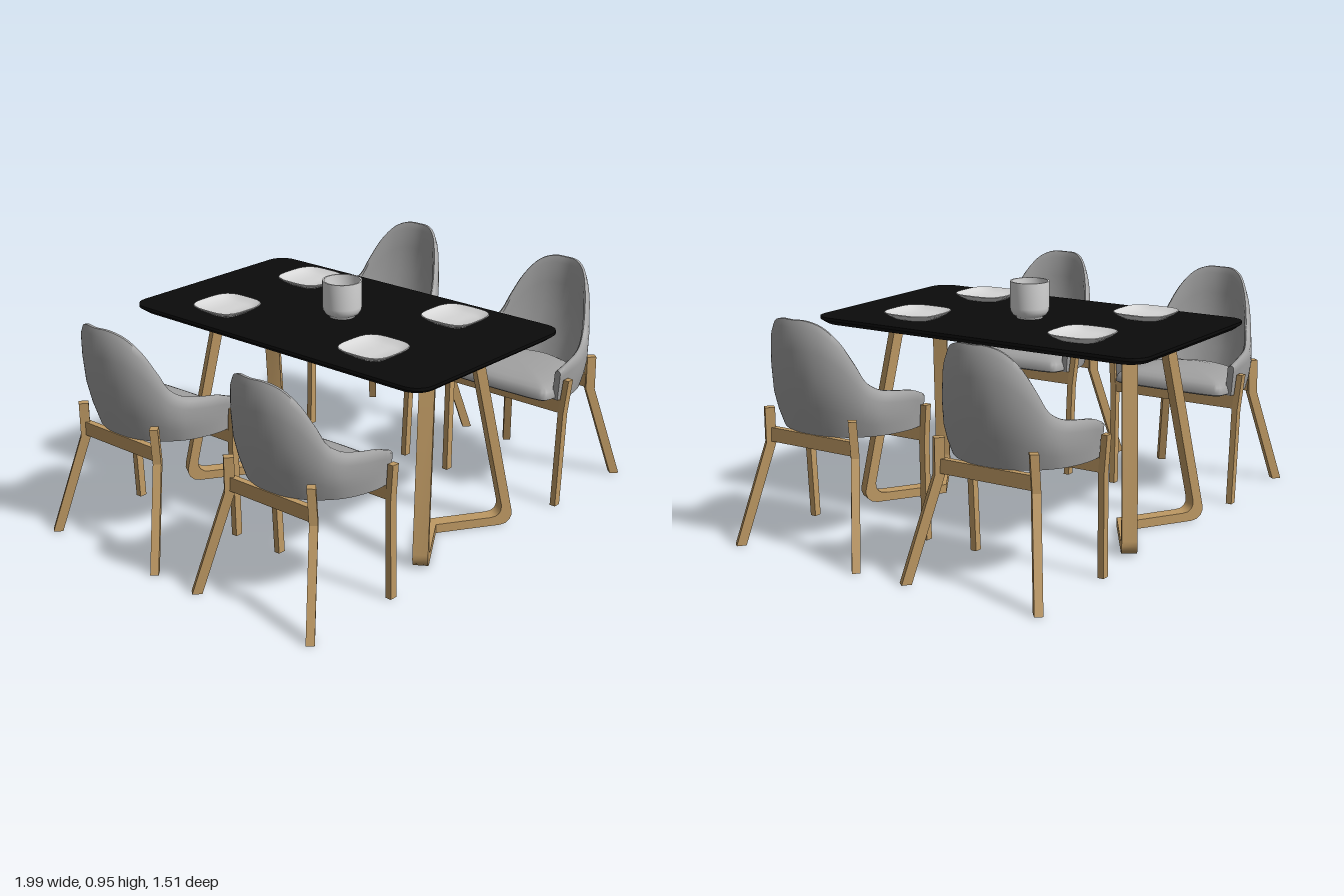
import * as THREE from 'three';
import { toCreasedNormals } from 'three/addons/utils/BufferGeometryUtils.js';

const mat = (name, color) => {
  const m = new THREE.MeshStandardMaterial({ color });
  m.name = name;
  return m;
};
const V = (x, y, z) => new THREE.Vector3(x, y, z);

// Skin closed rings of equal length, cap both ends, and face the surface outward
function loft(rings, crease = 0.6) {
  const n = rings[0].length, pts = rings.flat(), idx = [];
  for (let r = 0; r < rings.length - 1; r++) {
    for (let i = 0; i < n; i++) {
      const a = r * n + i, b = r * n + (i + 1) % n;
      idx.push(a, b, b + n, a, b + n, a + n);
    }
  }
  [0, rings.length - 1].forEach((r, end) => {
    const c = V(0, 0, 0);
    rings[r].forEach(p => c.addScaledVector(p, 1 / n));
    pts.push(c);
    for (let i = 0; i < n; i++) {
      const a = r * n + i, b = r * n + (i + 1) % n;
      idx.push(pts.length - 1, end ? a : b, end ? b : a);
    }
  });
  let volume = 0;
  const cross = V(0, 0, 0);
  for (let i = 0; i < idx.length; i += 3) {
    volume += pts[idx[i]].dot(cross.crossVectors(pts[idx[i + 1]], pts[idx[i + 2]]));
  }
  if (volume < 0) idx.reverse();
  const g = new THREE.BufferGeometry().setFromPoints(pts);
  g.setIndex(idx);
  return toCreasedNormals(g, crease);
}

// Bar with a rectangular section, turned about y, through a few points
function bar(points, w, d, turn = 0) {
  const c = Math.cos(turn), s = Math.sin(turn);
  return loft(points.map(p => [[-1, -1], [1, -1], [1, 1], [-1, 1]].map(([i, j]) =>
    V(p[0] + i * w / 2 * c - j * d / 2 * s, p[1], p[2] + i * w / 2 * s + j * d / 2 * c))), 0.3);
}

function roundedRect(hx, hz, r, y) {
  const ring = [];
  [[1, 1], [-1, 1], [-1, -1], [1, -1]].forEach(([sx, sz], q) => {
    for (let k = 0; k <= 6; k++) {
      const a = (q + k / 6) * Math.PI / 2;
      ring.push(V(sx * (hx - r) + r * Math.cos(a), y, sz * (hz - r) + r * Math.sin(a)));
    }
  });
  return ring;
}

// Rounded square ring for the plates
function squircle(r, y) {
  return Array.from({ length: 40 }, (_, i) => {
    const a = i / 40 * Math.PI * 2, c = Math.cos(a), s = Math.sin(a);
    const k = r / Math.pow(Math.abs(c) ** 3.5 + Math.abs(s) ** 3.5, 1 / 3.5);
    return V(c * k, y, s * k);
  });
}

const mirrored = half => [...half, ...half.slice(0, -1).reverse().map(([x, y, z]) => [x, y, -z])];
const smooth = half => new THREE.CatmullRomCurve3(mirrored(half).map(p => V(...p)));

// Upper and lower edge of the chair shell, from arm front to back centre
const RIM = [[.525, .585, .28], [.6, .613, .287], [.68, .625, .272], [.75, .638, .245], [.8, .67, .222],
  [.84, .74, .2], [.885, .825, .165], [.93, .89, .115], [.957, .913, .06], [.967, .914, 0]];
const BASE = [[.525, .46, .27], [.6, .46, .275], [.68, .46, .26], [.74, .46, .235], [.78, .46, .205],
  [.81, .46, .175], [.835, .46, .14], [.855, .46, .095], [.867, .46, .05], [.87, .46, 0]];

function shellGeometry() {
  const rim = smooth(RIM), base = smooth(BASE), rings = [], thick = 0.028;
  const section = [[0, 0], [.25, 0], [.5, 0], [.75, 0], [.94, 0], [1, .3], [1, .7],
    [.94, 1], [.75, 1], [.5, 1], [.25, 1], [0, 1]];
  for (let i = 0; i <= 72; i++) {
    const u = i / 72, top = rim.getPoint(u), low = base.getPoint(u), t = base.getTangent(u);
    const out = V(-t.z, 0, t.x).normalize();
    if (out.x * (low.x - 0.6) + out.z * low.z < 0) out.negate();
    rings.push(section.map(([v, inner]) => {
      const bulge = 0.026 * Math.sin(Math.PI * v) * Math.max(0, out.x);
      return low.clone().lerp(top, v).addScaledVector(out, bulge - thick * inner);
    }));
  }
  return loft(rings, 0.9);
}

function cushionGeometry() {
  const half = [[.455, 0, 0], [.457, 0, .1], [.461, 0, .2], [.472, 0, .242], [.5, 0, .254],
    [.6, 0, .26], [.68, 0, .245], [.74, 0, .22], [.79, 0, .18], [.83, 0, .11], [.855, 0, 0]];
  const line = [...half, ...half.slice(1, -1).reverse().map(([x, y, z]) => [x, y, -z])];
  const curve = new THREE.CatmullRomCurve3(line.map(p => V(...p)), true);
  const outline = curve.getPoints(64).slice(0, 64);
  const levels = [[.96, .462], [1, .468], [1, .478], [.975, .497], [.92, .51], [.8, .522], [.5, .532], [.2, .535]];
  return loft(levels.map(([s, y]) => outline.map(p => V(.65 + (p.x - .65) * s, y, p.z * s))), 0.9);
}

export function createModel() {
  const model = new THREE.Group();
  const wood = mat('oak wood', 0xbf9a64), fabric = mat('grey upholstery', 0xa2a2a2);
  const black = mat('black table top', 0x0b0b0b), white = mat('pale ceramic', 0xd6d6d6);
  const add = (parent, name, geo, m, x = 0, y = 0, z = 0) => {
    const mesh = new THREE.Mesh(geo, m);
    mesh.name = name;
    mesh.position.set(x, y, z);
    parent.add(mesh);
    return mesh;
  };

  // Table top, bevelled underneath
  add(model, 'tableTop', loft([[.022, .775], [0, .793], [0, .805]].map(([inset, y]) =>
    roundedRect(.445 - inset, .753 - inset, .075, y)), 0.3), black, -.01);

  // Table legs: each frame is two bent bars meeting in a V on the floor
  // Pairs of outer and inner edge points: distance along the bar, height
  const bend = [[0, 0, 0, .037], [.29, 0, .25, .037], [.315, .005, .272, .04], [.333, .02, .287, .05],
    [.341, .04, .295, .065], [.34, .06, .296, .085], [.19, .776, .15, .776]];
  const dx = .84, dz = .54, w = .03;
  for (const end of [1, -1]) {
    const frame = new THREE.Group();
    frame.name = end > 0 ? 'frontTableFrame' : 'backTableFrame';
    for (const side of [1, -1]) {
      const at = (s, y, j) => s === 0
        ? V(0, y, end * (.453 + j * w / dx))
        : V(side * (s * dx - j * w * dz), y, end * (.453 + s * dz + j * w * dx));
      add(frame, 'tableLeg', loft(bend.map(([so, yo, si, yi]) =>
        [at(so, yo, -1), at(so, yo, 1), at(si, yi, 1), at(si, yi, -1)]), 0.5), wood, -.005);
    }
    model.add(frame);
  }

  // Chairs
  const shell = shellGeometry(), cushion = cushionGeometry();
  for (const side of [1, -1]) {
    for (const z of [.412, -.382]) {
      const chair = new THREE.Group();
      chair.name = side > 0 ? 'leftChair' : 'rightChair';
      add(chair, 'seatShell', shell, fabric);
      add(chair, 'seatCushion', cushion, fabric);
      for (const m of [1, -1]) {
        add(chair, 'frontChairLeg', bar([[.527, 0, m * .281], [.542, .4, m * .287], [.549, .55, m * .302]],
          .032, .025), wood);
        add(chair, 'rearChairLeg', bar([[.97, 0, m * .283], [.863, .4, m * .206], [.869, .54, m * .201]],
          .038, .032, m * .7), wood);
      }
      add(chair, 'frontRail', new THREE.BoxGeometry(.026, .055, .56), wood, .544, .433, 0);
      add(chair, 'rearRail', new THREE.BoxGeometry(.026, .055, .4), wood, .861, .433, 0);
      chair.position.set(side > 0 ? 0 : -.004, 0, z);
      chair.rotation.y = side > 0 ? 0 : Math.PI;
      model.add(chair);
    }
  }

  // Plates
  const plate = loft([[.07, .805], [.08, .806], [.105, .82], [.117, .831], [.115, .834], [.1, .824],
    [.08, .815], [.03, .813]].map(([r, y]) => squircle(r, y)), 0.7);
  for (const x of [-.264, .232]) for (const z of [-.393, .377]) add(model, 'plate', plate, white, x, 0, z);

  // Cup in the middle of the table
  const profile = [[0, .805], [.052, .805], [.055, .812], [.068, .82], [.077, .835], [.079, .85], [.079, .955],
    [.072, .955], [.07, .85], [.06, .828], [.035, .822], [.03, .818], [0, .818]];
  add(model, 'cup', toCreasedNormals(new THREE.LatheGeometry(
    profile.map(p => new THREE.Vector2(...p)), 40), 0.6), white, -.012);

  return model;
}
